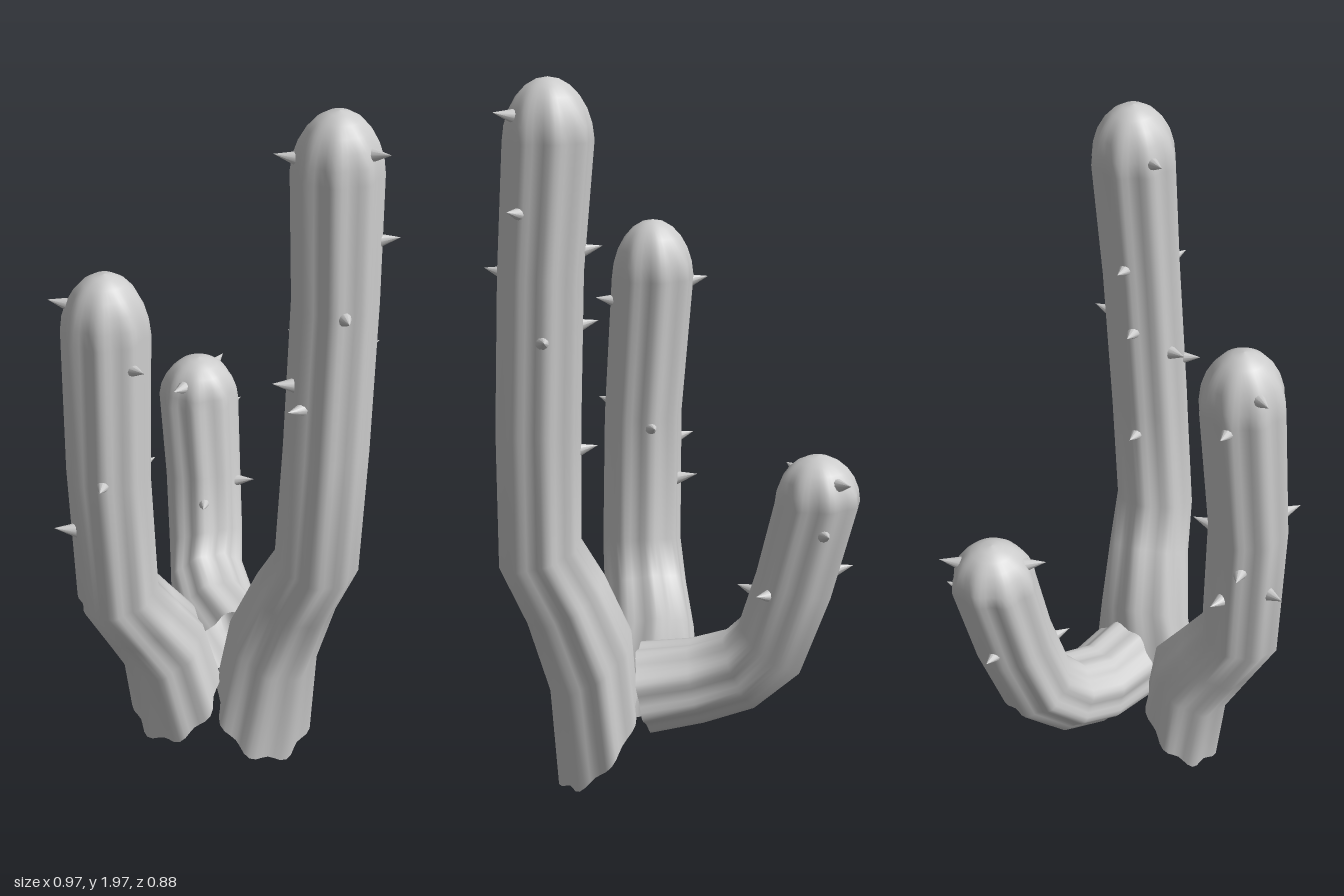
import * as THREE from 'three';

const SEG = 48, RIBS = 8, DOME = 6;
const UP = new THREE.Vector3(0, 1, 0);

const skin = new THREE.MeshStandardMaterial({ color: 0xcccccc, side: THREE.DoubleSide });
const spikeGeometry = new THREE.ConeGeometry(0.021, 0.065, 10);

// Rings along an arm: the path points, flared at the foot, then a dome of shrinking rings.
// A path point is x, y, z and how far the ring leans along the arm's bearing.
function makeRings(path, bearing, flare, height) {
  const rings = path.map(([x, y, z, lean = 0], i) => ({
    center: new THREE.Vector3(x, y, z),
    radius: 0.107 + flare * Math.exp(-0.8 * i) + (i === path.length - 1 ? 0.006 : 0),
    normal: bearing.clone().multiplyScalar(lean).add(UP).normalize(),
    ribDepth: 0.06,
  }));
  const last = rings[rings.length - 1];
  for (let k = 1; k <= DOME; k++) {
    const t = (k / DOME) * Math.PI / 2;
    const center = last.center.clone();
    center.y += (height - center.y) * Math.sin(t);
    const radius = Math.max(last.radius * Math.cos(t), 0.0005);
    rings.push({ center, radius, normal: UP, ribDepth: 0.06 * Math.max(0, 1 - k / 4) });
  }
  return rings;
}

// Ribbed tube through the rings, open at its foot
function armGeometry(rings) {
  const pos = [], index = [];
  const q = new THREE.Quaternion(), v = new THREE.Vector3();
  rings.forEach(({ center, radius, normal, ribDepth }, i) => {
    q.setFromUnitVectors(UP, normal);
    for (let j = 0; j < SEG; j++) {
      const a = (j / SEG) * Math.PI * 2;
      const r = radius * (1 + ribDepth * (Math.cos(RIBS * a) - 0.2));
      v.set(Math.cos(a) * r, 0, Math.sin(a) * r).applyQuaternion(q).add(center);
      pos.push(v.x, v.y, v.z);
      if (i === 0) continue;
      const k = (j + 1) % SEG, lo = (i - 1) * SEG, hi = i * SEG;
      index.push(lo + j, hi + j, hi + k, lo + j, hi + k, lo + k);
    }
  });
  const geometry = new THREE.BufferGeometry();
  geometry.setAttribute('position', new THREE.Float32BufferAttribute(pos, 3));
  geometry.setIndex(index);
  geometry.computeVertexNormals();
  return geometry;
}

// Spike on the arm's skin at a height and an angle (0 = +x, 90 = +z), tilted a little up
function makeSpike(rings, y, degrees) {
  const i = rings.findIndex(ring => ring.center.y >= y);
  const a = rings[i - 1], b = rings[i];
  const t = (y - a.center.y) / (b.center.y - a.center.y);
  const angle = THREE.MathUtils.degToRad(degrees);
  const out = new THREE.Vector3(Math.cos(angle), 0, Math.sin(angle));
  const spike = new THREE.Mesh(spikeGeometry, skin);
  spike.name = 'spike';
  spike.position.lerpVectors(a.center, b.center, t)
    .addScaledVector(out, THREE.MathUtils.lerp(a.radius, b.radius, t) + 0.018);
  spike.quaternion.setFromUnitVectors(UP, out.setY(0.2).normalize());
  return spike;
}

function makeArm(name, bearingX, bearingZ, flare, height, path, spikes) {
  const arm = new THREE.Group();
  arm.name = name;
  const rings = makeRings(path, new THREE.Vector3(bearingX, 0, bearingZ), flare, height);
  const body = new THREE.Mesh(armGeometry(rings), skin);
  body.name = name + 'Body';
  arm.add(body);
  for (const [y, degrees] of spikes) arm.add(makeSpike(rings, y, degrees));
  return arm;
}

export function createModel() {
  const model = new THREE.Group();
  model.name = 'cactus';

  // Tall arm, leaning out to +x before it rises
  const tallPath = [
    [0.195, 0.16, -0.08, 1.2], [0.215, 0.4, -0.095, 0.7], [0.285, 0.59, -0.11, 0.6],
    [0.355, 0.73, -0.12, 0.3], [0.357, 1.08, -0.138], [0.348, 1.5, -0.16], [0.325, 1.84, -0.173],
  ];
  const tallSpikes = [[1.91, -15], [1.88, 130], [1.67, -45], [1.56, 180], [1.5, 30],
    [1.36, 175], [1.34, -85], [1.28, 115], [1.235, 85], [1.02, 180]];
  model.add(makeArm('tallArm', 1, -0.1, 0.058, 2, tallPath, tallSpikes));

  // Middle arm, leaning out to the front
  const frontPath = [
    [0.02, 0.2, 0.11, 1.1], [0, 0.385, 0.14, 0.7], [-0.005, 0.5, 0.215, 0.6],
    [-0.01, 0.615, 0.288, 0.3], [-0.018, 1, 0.303], [-0.042, 1.4, 0.282],
  ];
  const frontSpikes = [[1.48, 135], [1.39, 180], [1.34, 0], [1.02, 45], [0.98, -90],
    [0.92, 170], [0.83, 120], [0.81, 195]];
  model.add(makeArm('frontArm', 0, 1, 0.045, 1.565, frontPath, frontSpikes));

  // Short arm, reaching sideways to the back before it curls up
  const shortPath = [
    [0.06, 0.31, -0.1, 5], [-0.08, 0.33, -0.13, 4], [-0.19, 0.375, -0.18, 2],
    [-0.26, 0.46, -0.235, 0.7], [-0.315, 0.65, -0.27, 0.3], [-0.367, 0.88, -0.295],
  ];
  const shortSpikes = [[0.95, 70], [0.95, -110], [0.82, -90], [0.68, 180], [0.64, -35], [0.61, 40]];
  model.add(makeArm('shortArm', -1, -0.4, 0.015, 1.008, shortPath, shortSpikes));

  return model;
}
